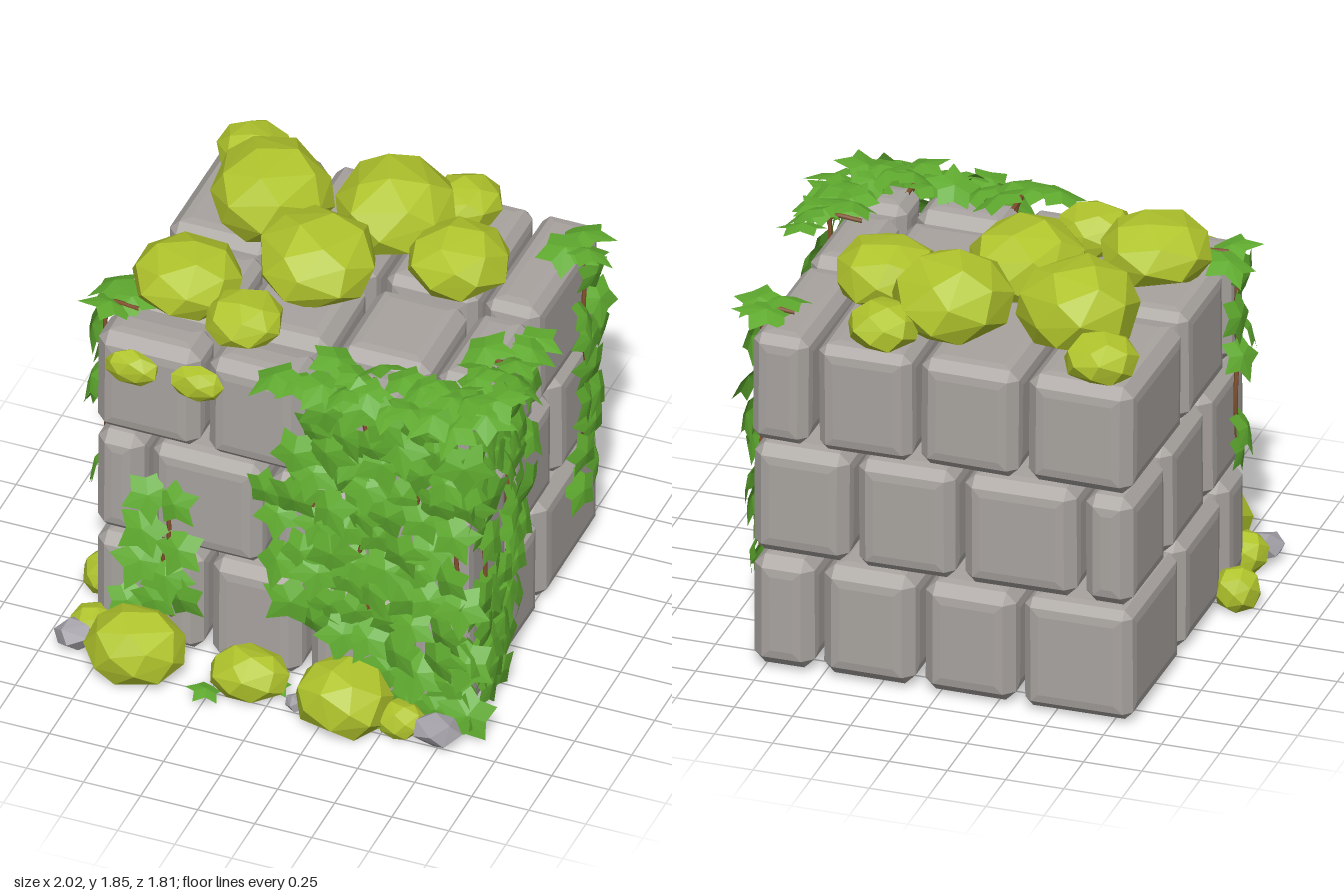
import * as THREE from 'three';
import { mergeGeometries } from 'three/addons/utils/BufferGeometryUtils.js';
import { ConvexGeometry } from 'three/addons/geometries/ConvexGeometry.js';

const V = (x, y, z) => new THREE.Vector3(x, y, z);

export function createModel() {
  const model = new THREE.Group();
  let seed = 7;
  const rand = () => (seed = (seed * 16807) % 2147483647) / 2147483647;
  const vary = (a) => (rand() * 2 - 1) * a;

  const material = (name, color, side = THREE.FrontSide) => {
    const m = new THREE.MeshStandardMaterial({ color, side });
    m.name = name;
    return m;
  };
  const stone = material('stone grey', 0xa8a39f);
  const pebbleGrey = material('pebble grey', 0xa19ea5);
  const mossGreen = material('moss green', 0xb0c42c);
  const leafGreen = material('leaf green', 0x5faa2f, THREE.DoubleSide);
  const bark = material('bark brown', 0x84522f);

  const add = (name, geometry, mat, parent = model) => {
    const mesh = new THREE.Mesh(geometry, mat);
    mesh.name = name;
    parent.add(mesh);
    return mesh;
  };
  const group = (name) => {
    const g = new THREE.Group();
    g.name = name;
    model.add(g);
    return g;
  };

  // Stone block: chamfered box with slightly domed faces
  function blockGeometry(w, h, d) {
    const half = [w / 2, h / 2, d / 2], c = 0.04 + rand() * 0.012, pts = [];
    for (const sx of [-1, 1]) for (const sy of [-1, 1]) for (const sz of [-1, 1])
      for (let axis = 0; axis < 3; axis++)
        for (const [inset, sink] of [[c, 0.006], [c + 0.035, 0]]) {
          const p = half.map((v, i) => (i === axis ? v - sink : v - inset));
          pts.push(V(p[0] * sx, p[1] * sy, p[2] * sz));
        }
    return new ConvexGeometry(pts);
  }

  // Three staggered courses of blocks
  const courses = [
    { y: [0.01, 0.515], x: [-0.84, -0.35, 0.08, 0.515, 0.8], z: [-0.91, -0.265, 0.28, 0.56] },
    { y: [0.53, 1.03], x: [-0.84, -0.61, -0.09, 0.365, 0.8], z: [-0.91, -0.43, 0.07, 0.56] },
    { y: [1.04, 1.535], x: [-0.84, -0.365, 0.095, 0.535, 0.8], z: [-0.91, -0.215, 0.305, 0.56] },
  ];
  const wall = group('stoneBlocks');
  courses.forEach(({ y, x, z }, k) => {
    for (let i = 0; i < 4; i++) for (let j = 0; j < 3; j++) {
      if (k < 2 && j === 1 && (i === 1 || i === 2)) continue; // hollow core
      const x0 = x[i] + (i ? 0.015 : 0), x1 = x[i + 1] - (i < 3 ? 0.015 : 0);
      const z0 = z[j] + (j ? 0.015 : 0), z1 = z[j + 1] - (j < 2 ? 0.015 : 0);
      const block = add('block', blockGeometry(x1 - x0, y[1] - y[0], z1 - z0), stone, wall);
      block.position.set((x0 + x1) / 2, (y[0] + y[1]) / 2, (z0 + z1) / 2);
      block.rotation.set(vary(0.01), vary(0.012), vary(0.01));
    }
  });

  // Faceted lump: hull of evenly spread points, cut flat at the floor
  function lump(name, mat, parent, [x, y, z, rx, ry, rz], count, floor) {
    const pts = [], start = rand() * 6;
    for (let i = 0; i < count; i++) {
      const h = 1 - (2 * i + 1) / count, r = Math.sqrt(1 - h * h);
      const a = start + i * 2.39996 + vary(0.12), k = 1.03 + vary(0.04);
      pts.push(V(Math.cos(a) * r * rx * k, Math.max(h * ry * k, floor - y), Math.sin(a) * r * rz * k));
    }
    add(name, new ConvexGeometry(pts), mat, parent).position.set(x, y, z);
  }

  // Moss cushions: on top, on the front face, on the ground
  const topMoss = group('topMoss');
  [[-0.66, -0.76, 0.15, 1.7], [-0.46, -0.46, 0.255, 1.85], [0.05, -0.55, 0.25, 1.84],
    [0.4, -0.36, 0.215, 1.76], [0.27, -0.76, 0.15, 1.69], [-0.13, -0.12, 0.25, 1.82],
    [-0.58, 0.17, 0.23, 1.77], [-0.27, 0.31, 0.16, 1.7]].forEach(([x, z, r, top]) => {
    const ry = (top - 1.52) * 0.6;
    lump('mossCushion', mossGreen, topMoss, [x, top - ry, z, r, ry, r], 28, 1.515);
  });
  const faceMoss = group('frontFaceMoss');
  for (const x of [-0.66, -0.375])
    lump('mossPatch', mossGreen, faceMoss, [x, 1.42, 0.575, 0.118, 0.078, 0.06], 24, 0);
  const groundMoss = group('groundMoss');
  [[-0.585, 0.72, 0.215, 0.285, 0.18], [-0.105, 0.68, 0.17, 0.2, 0.135], [0.325, 0.725, 0.205, 0.28, 0.18],
    [-0.9, 0.25, 0.1, 0.18, 0.1], [-0.83, 0.58, 0.09, 0.16, 0.1], [0.57, 0.7, 0.1, 0.14, 0.09]]
    .forEach(([x, z, rx, h, rz]) =>
      lump('mossCushion', mossGreen, groundMoss, [x, h * 0.43, z, rx, h * 0.57, rz], 28, 0));

  // Loose pebbles
  const pebbles = group('pebbles');
  [[-0.87, 0.07, 0.67, 0.09, 0.065, 0.08], [0.735, 0.068, 0.72, 0.105, 0.063, 0.09],
    [0.12, 0.035, 0.72, 0.05, 0.037, 0.05]]
    .forEach((d) => lump('pebble', pebbleGrey, pebbles, d, 13, 0));

  // Ivy leaf: five-pointed star with a raised centre, tip along -y
  const tips = [1.12, 1.02, 0.92, 0.92, 1.02], outline = [];
  tips.forEach((r, i) => {
    const a = -Math.PI / 2 + (i * Math.PI * 2) / 5;
    outline.push(V(Math.cos(a) * r, Math.sin(a) * r, -0.14));
    const b = a + Math.PI / 5;
    outline.push(V(Math.cos(b) * 0.6, Math.sin(b) * 0.6, 0));
  });
  const fan = outline.flatMap((p, i) => [V(0, 0, 0.16), p, outline[(i + 1) % 10]]);
  const leafShape = new THREE.BufferGeometry().setFromPoints(fan);

  // A leaf lying on a surface with the given normal, its tip along `tip`
  function leaf(list, pos, normal, tip, size = 0.118) {
    const x = V().crossVectors(tip, normal).negate().normalize();
    const y = V().crossVectors(normal, x).normalize();
    const m = new THREE.Matrix4().makeBasis(x, y, normal.clone().normalize());
    const turn = new THREE.Euler(-0.22 + vary(0.35), vary(0.4), vary(0.8));
    m.multiply(new THREE.Matrix4().makeRotationFromEuler(turn));
    const s = size * (0.9 + rand() * 0.25);
    m.scale(V(s, s, s)).setPosition(pos);
    const g = leafShape.clone().applyMatrix4(m), p = g.attributes.position;
    for (let i = 0; i < p.count; i++) p.setY(i, Math.max(p.getY(i), 0.003)); // rest on the ground
    g.computeVertexNormals();
    list.push(g);
  }
  const finish = (name, list) => add(name, mergeGeometries(list), leafGreen);

  const edgeAt = (table, y) => {
    const i = Math.max(1, table.findIndex((t) => t[0] >= y));
    const [a, b] = [table[i - 1], table[i]];
    return a[1] + ((b[1] - a[1]) * (y - a[0])) / (b[0] - a[0]);
  };
  const down = V(0, -1, 0), front = V(0, 0, 1), right = V(1, 0, 0), left = V(-1, 0, 0);

  // Ivy curtain over the front and the side of one corner
  const frontEdge = [[0, 0.56], [0.2, 0.5], [0.3, 0.1], [0.6, 0], [0.85, -0.1], [1.1, -0.06], [1.3, 0.06], [1.7, 0.14]];
  const sideEdge = [[0, 0.2], [0.2, 0.2], [0.6, 0.09], [0.85, 0], [1.1, -0.04], [1.3, 0.01], [1.7, 0.06]];
  const frontLeaves = [], sideLeaves = [];
  for (let row = 0; row < 12; row++) {
    const y = 0.11 + row * 0.127, shift = (row % 2) * 0.07;
    for (let x = 0.82 - shift; x > edgeAt(frontEdge, y); x -= 0.135)
      if (rand() > 0.05)
        leaf(frontLeaves, V(x + vary(0.03), y + vary(0.03), 0.595 + rand() * 0.04), front, down);
    for (let z = 0.57 - shift; z > edgeAt(sideEdge, y); z -= 0.137)
      if (rand() > 0.12)
        leaf(sideLeaves, V(0.835 + rand() * 0.03, y + vary(0.03), z + vary(0.03)), right, down);
  }
  finish('frontIvyLeaves', frontLeaves);
  finish('sideIvyLeaves', sideLeaves);

  // Ivy spilling over the top edges
  const topLeaves = [];
  for (let x = -0.02; x < 0.86; x += 0.1) {
    leaf(topLeaves, V(x, 1.565 + vary(0.025), 0.62 + vary(0.03)), V(0, 1, 0.4), front);
    if (x > 0.15) leaf(topLeaves, V(x, 1.595 + vary(0.025), 0.47 + vary(0.04)), V(0, 1, 0.15), front);
  }
  for (let z = -0.02; z < 0.6; z += 0.09) {
    leaf(topLeaves, V(0.87 + vary(0.02), 1.565 + vary(0.025), z), V(0.4, 1, 0), right);
    if (z > 0.1) leaf(topLeaves, V(0.74 + vary(0.03), 1.595 + vary(0.025), z), V(0.15, 1, 0), right);
  }
  finish('topIvyLeaves', topLeaves);

  // Narrow ivy strands: [across, height] of each leaf
  const backStrand = [], leftStrand = [], lowStrand = [], groundLeaves = [];
  [[-0.72, 1.42], [-0.62, 1.26], [-0.77, 1.25], [-0.68, 1.12], [-0.79, 1.1], [-0.7, 0.96], [-0.65, 0.82],
    [-0.76, 0.8], [-0.71, 0.68], [-0.62, 0.57], [-0.74, 0.45], [-0.59, 0.4]]
    .forEach(([z, y]) => leaf(backStrand, V(0.84, y, z), right, down, 0.112));
  for (const [x, z] of [[0.78, -0.76], [0.84, -0.66], [0.75, -0.64]])
    leaf(backStrand, V(x, 1.56, z), V(0.3, 1, 0), right, 0.12);
  [[0.4, 1.45], [0.3, 1.3], [0.42, 1.2], [0.34, 1.1], [0.38, 0.75], [0.33, 0.68]]
    .forEach(([z, y]) => leaf(leftStrand, V(-0.885, y, z), left, down, 0.112));
  for (const [x, z] of [[-0.83, 0.39], [-0.86, 0.25], [-0.76, 0.32]])
    leaf(leftStrand, V(x, 1.56, z), V(-0.35, 1, 0), left);
  [[-0.58, 0.81], [-0.46, 0.8], [-0.6, 0.63], [-0.44, 0.57], [-0.61, 0.47], [-0.5, 0.42], [-0.43, 0.33],
    [-0.55, 0.29], [-0.67, 0.25]]
    .forEach(([x, y]) => leaf(lowStrand, V(x, y, 0.6), front, down, 0.115));
  for (const [x, z] of [[-0.25, 0.8], [0.0, 0.66], [0.45, 0.7], [0.72, 0.62]])
    leaf(groundLeaves, V(x, 0.045, z), V(0, 1, 0), front, 0.085);
  finish('backIvyLeaves', backStrand);
  finish('leftIvyLeaves', leftStrand);
  finish('lowIvyLeaves', lowStrand);
  finish('groundIvyLeaves', groundLeaves);

  // Woody stems: start on the top edge when high, then wander down the wall
  const stems = group('ivyStems');
  function stem(place, high, low, overTop) {
    const pts = overTop ? [place(0, 1.55, -0.13), place(0, 1.55, 0.005)] : [];
    for (let y = high; y > low; y -= 0.2) pts.push(place(vary(0.035), y, 0.008));
    const curve = new THREE.CatmullRomCurve3(pts);
    add('stem', new THREE.TubeGeometry(curve, pts.length * 4, 0.01, 5), bark, stems);
  }
  for (const [x, low] of [[0.13, 0.4], [0.35, 0.3], [0.58, 0.05], [0.75, 0.05]])
    stem((u, y, out) => V(x + u, y, 0.565 + out), 1.48, low, true);
  for (const [z, low] of [[0.42, 0.1], [0.15, 0.3]])
    stem((u, y, out) => V(0.805 + out, y, z + u), 1.48, low, true);
  stem((u, y, out) => V(0.805 + out, y, -0.7 + u), 1.48, 0.35, true);
  stem((u, y, out) => V(-0.845 - out, y, 0.36 + u), 1.48, 0.65, true);
  stem((u, y, out) => V(-0.52 + u, y, 0.565 + out), 0.8, 0.2, false);

  return model;
}
